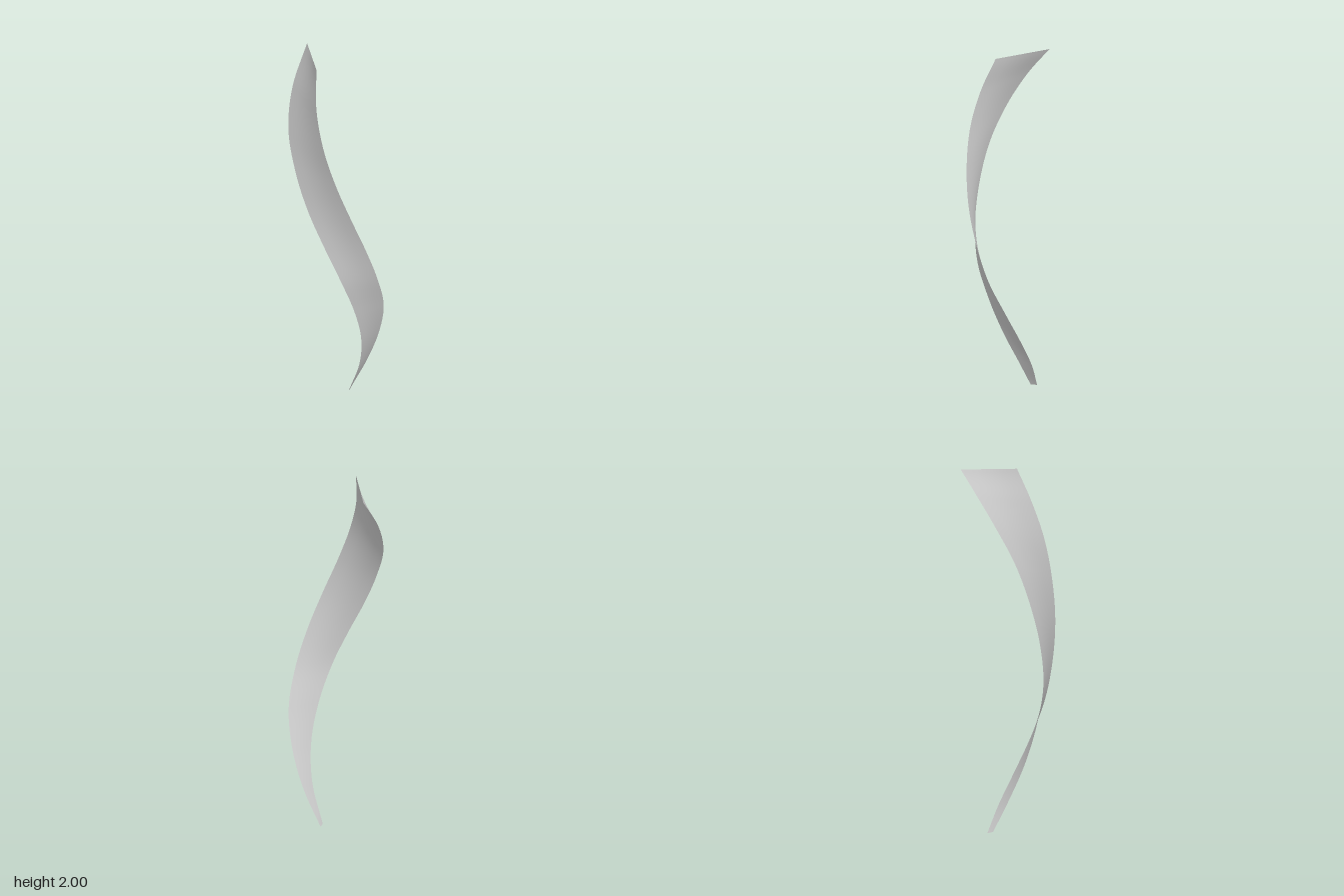
import * as THREE from 'three';

// Edge positions [x, z] at equal height steps from the base to the top
const LEFT_EDGE = [
  [0.08, -0.085], [0.125, -0.005], [0.122, 0.077], [0.075, 0.142], [0, 0.182], [-0.085, 0.168],
  [-0.165, 0.118], [-0.22, 0.045], [-0.242, -0.055], [-0.205, -0.153], [-0.115, -0.244],
];
const RIGHT_EDGE = [
  [0.095, -0.116], [0.178, -0.062], [0.228, 0.013], [0.238, 0.097], [0.193, 0.178], [0.124, 0.224],
  [0.043, 0.242], [-0.035, 0.229], [-0.094, 0.192], [-0.121, 0.128], [-0.11, 0.05],
];
const HEIGHT = 2;
const ROWS = 100;
const COLUMNS = 4;

function edgeCurve(points) {
  const step = HEIGHT / (points.length - 1);
  return new THREE.CatmullRomCurve3(
    points.map(([x, z], i) => new THREE.Vector3(x, i * step, z)), false, 'catmullrom', 0.5);
}

// Thin twisted sheet ruled between two rising edges
function ribbonGeometry(edgeA, edgeB) {
  const geometry = new THREE.PlaneGeometry(1, 1, COLUMNS, ROWS);
  const position = geometry.attributes.position;
  const point = new THREE.Vector3();
  for (let row = 0; row <= ROWS; row++) {
    const t = 1 - row / ROWS;
    const a = edgeA.getPoint(t);
    const b = edgeB.getPoint(t);
    for (let col = 0; col <= COLUMNS; col++) {
      point.lerpVectors(a, b, col / COLUMNS);
      position.setXYZ(row * (COLUMNS + 1) + col, point.x, point.y, point.z);
    }
  }
  geometry.computeVertexNormals();
  return geometry;
}

export function createModel() {
  const group = new THREE.Group();
  group.name = 'twistedRibbon';
  const material = new THREE.MeshStandardMaterial({ color: 0xcccccc, side: THREE.DoubleSide });
  const ribbon = new THREE.Mesh(ribbonGeometry(edgeCurve(LEFT_EDGE), edgeCurve(RIGHT_EDGE)), material);
  ribbon.name = 'ribbon';
  group.add(ribbon);
  return group;
}
